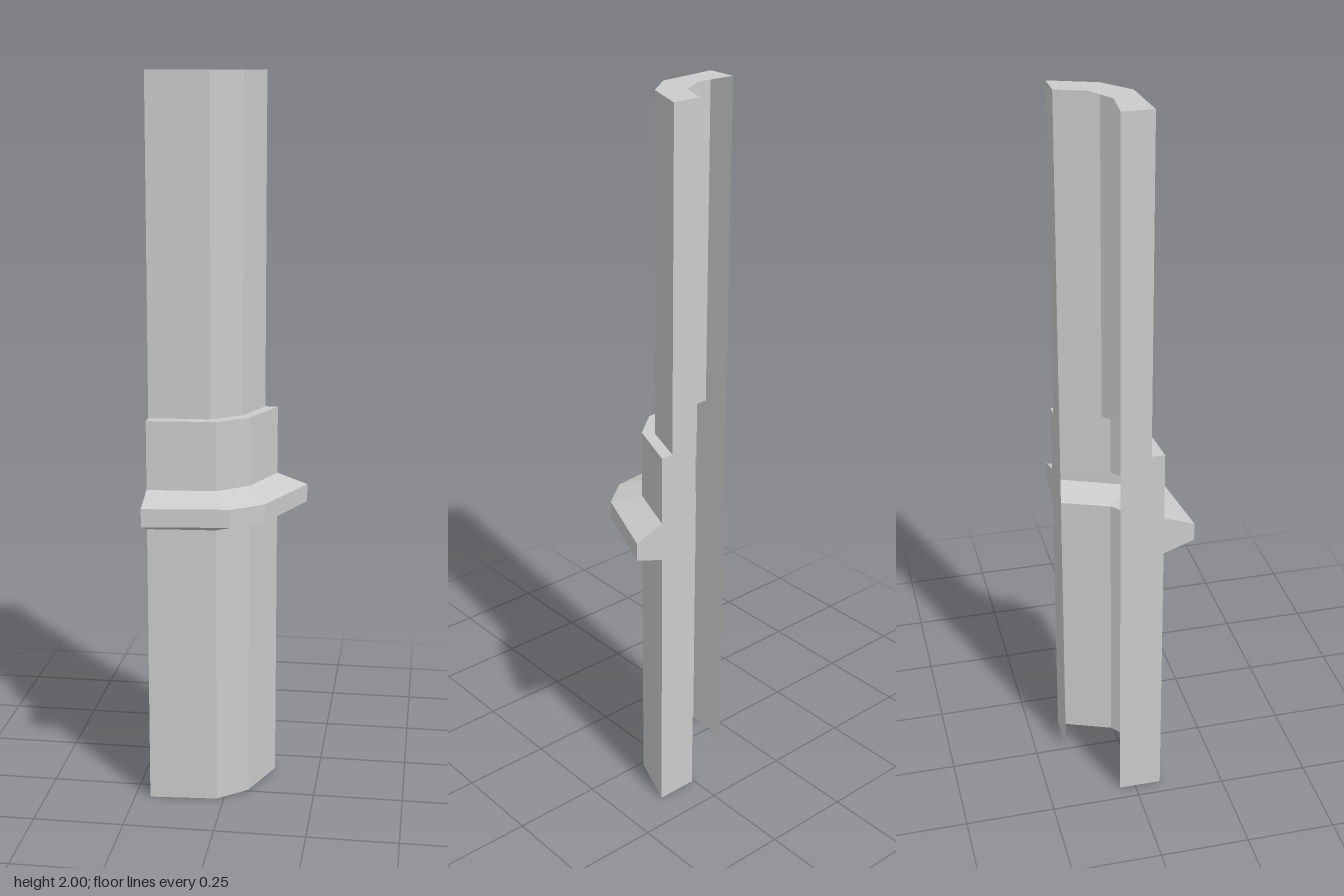
import * as THREE from 'three';

const material = new THREE.MeshStandardMaterial({
  color: 0xcccccc, flatShading: true, side: THREE.DoubleSide,
});

// Plan outlines (x, z), each running from the left-hand cut to the back cut
const inner = [[-0.207, -0.045], [-0.1, -0.036], [-0.025, -0.08], [0.006, -0.16]];
const upper = [[-0.207, 0.038], [-0.04, 0.028], [0.04, -0.036], [0.087, -0.16]];
const lower = [[-0.207, 0.074], [-0.02, 0.06], [0.062, -0.007], [0.122, -0.16]];
const flange = [[-0.207, 0.158], [0.03, 0.131], [0.113, 0.066], [0.207, -0.16]];

// Vertical profile: each section is a stack of [outline, height]
const sections = {
  lowerWall: [[lower, 0], [lower, 0.79]],
  flange: [[lower, 0.79], [flange, 0.82], [flange, 0.87], [lower, 0.9]],
  collar: [[lower, 0.9], [lower, 1.09]],
  collarLedge: [[lower, 1.09], [upper, 1.09]],
  upperWall: [[upper, 1.09], [upper, 2]],
  topRim: [[upper, 2], [inner, 2]],
};

// Skin a stack of outlines with quads facing outward
function loft(rows) {
  const positions = [], index = [];
  rows.forEach(([outline, y], i) => outline.forEach(([x, z], j) => {
    positions.push(x, y, z);
    const n = outline.length;
    if (i > 0 && j > 0) {
      const d = i * n + j, c = d - 1, b = d - n, a = b - 1;
      index.push(a, b, d, a, d, c);
    }
  }));
  const geometry = new THREE.BufferGeometry();
  geometry.setAttribute('position', new THREE.Float32BufferAttribute(positions, 3));
  geometry.setIndex(index);
  geometry.computeVertexNormals();
  return geometry;
}

// Flat cut face: the profile at one end of the outlines, closed along the inner edge
function cutFace(end, horizontal) {
  const rows = [
    [inner, 0], ...sections.lowerWall, ...sections.flange.slice(1),
    ...sections.collar.slice(1), ...sections.upperWall, [inner, 2],
  ];
  const points = rows.map(([outline, y]) => new THREE.Vector2(horizontal(outline[end]), y));
  return new THREE.ShapeGeometry(new THREE.Shape(points));
}

export function createModel() {
  const group = new THREE.Group();
  group.name = 'cornerPost';
  const add = (name, geometry) => {
    const mesh = new THREE.Mesh(geometry, material);
    mesh.name = name;
    group.add(mesh);
  };

  // Outer skin, open at the bottom and along the inside
  for (const [name, rows] of Object.entries(sections)) add(name, loft(rows));

  // Flat faces at the two cuts
  add('sideCutFace', cutFace(0, (p) => p[1]).rotateY(-Math.PI / 2).translate(-0.207, 0, 0));
  add('backCutFace', cutFace(3, (p) => -p[0]).rotateY(Math.PI).translate(0, 0, -0.16));
  return group;
}
